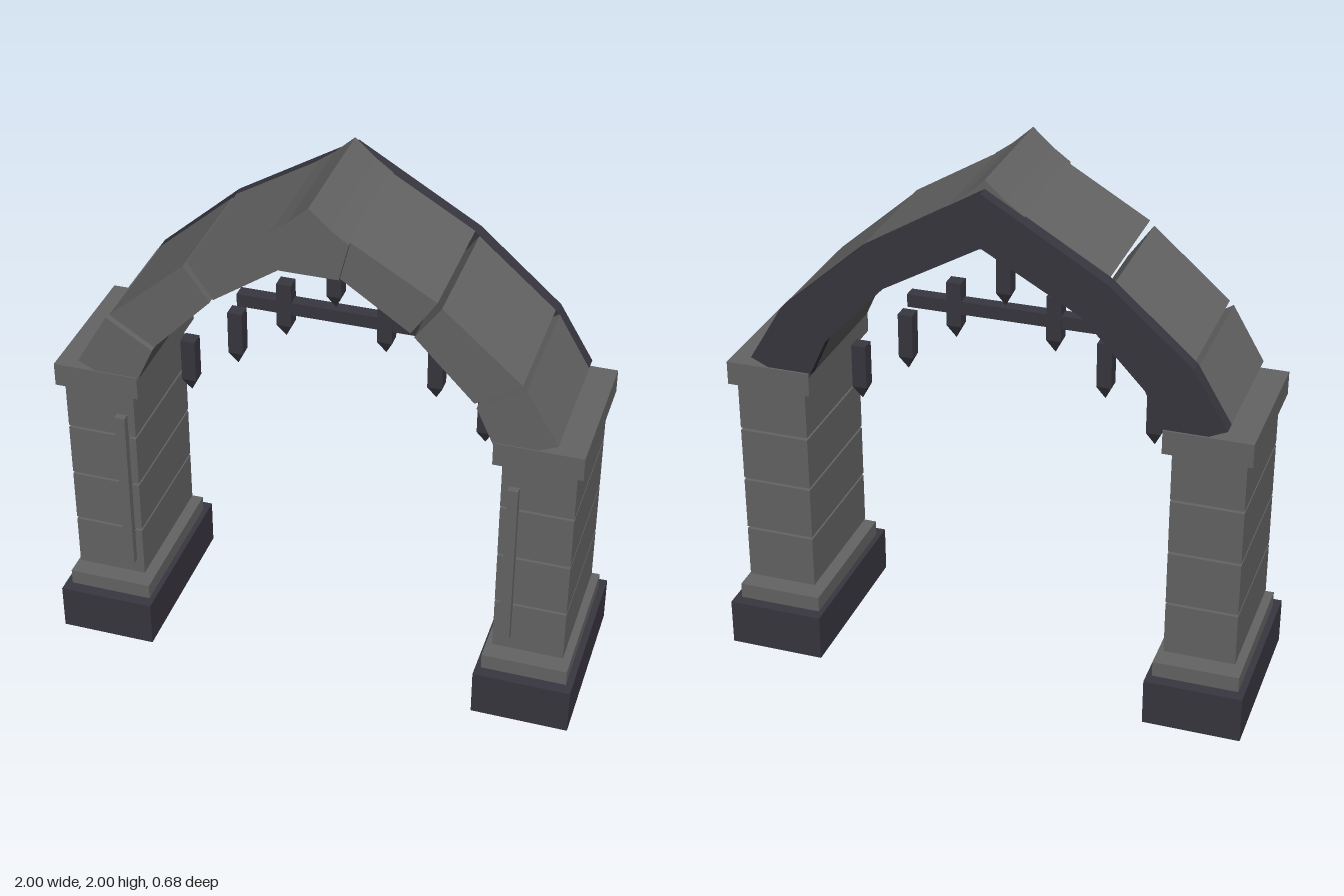
import * as THREE from 'three';

const stone = new THREE.MeshStandardMaterial({ color: 0x646465 });
stone.name = 'grey stone';
const dark = new THREE.MeshStandardMaterial({ color: 0x38363f });
dark.name = 'dark stone';

// Box given by its lower and upper limits on each axis
function box(name, mat, [x0, x1], [y0, y1], [z0, z1]) {
  const mesh = new THREE.Mesh(new THREE.BoxGeometry(x1 - x0, y1 - y0, z1 - z0), mat);
  mesh.position.set((x0 + x1) / 2, (y0 + y1) / 2, (z0 + z1) / 2);
  mesh.name = name;
  return mesh;
}

// Flat outline in x and y, extruded from z0 to z1
function slab(name, mat, points, z0, z1) {
  const shape = new THREE.Shape(points.map(([x, y]) => new THREE.Vector2(x, y)));
  const geo = new THREE.ExtrudeGeometry(shape, { depth: z1 - z0, bevelEnabled: false });
  geo.translate(0, 0, z0);
  const mesh = new THREE.Mesh(geo, mat);
  mesh.name = name;
  return mesh;
}

// Hanging spike: square bar with a four-sided point
function spike(x, top) {
  const w = 0.055, body = 0.17, tip = 0.055, z = -0.01;
  const group = new THREE.Group();
  group.name = 'spike';
  group.add(box('spikeBar', dark, [-w / 2, w / 2], [-body, 0], [-w / 2, w / 2]));
  const cone = new THREE.ConeGeometry(w / Math.SQRT2, tip, 4).toNonIndexed();
  cone.rotateY(Math.PI / 4).rotateX(Math.PI);
  cone.computeVertexNormals();
  const point = new THREE.Mesh(cone, dark);
  point.name = 'spikePoint';
  point.position.y = -body - tip / 2;
  group.add(point);
  group.position.set(x, top, z);
  return group;
}

// Pillar on one side: base, plinth, separated courses, cap and front strip
function pillar(side) {
  const group = new THREE.Group();
  group.name = side > 0 ? 'leftPillar' : 'rightPillar';
  const add = (name, mat, x0, x1, y, z) =>
    group.add(box(name, mat, side > 0 ? [x0, x1] : [-x1, -x0], y, z));
  add('base', dark, 0.635, 1, [0, 0.18], [-0.34, 0.34]);
  add('plinth', stone, 0.655, 0.975, [0.18, 0.24], [-0.295, 0.295]);
  for (const y of [[0.27, 0.472], [0.482, 0.685], [0.695, 0.898], [0.908, 1.1]]) {
    add('course', stone, 0.685, 0.95, y, [-0.257, 0.257]);
  }
  add('cap', stone, 0.655, 0.975, [1.1, 1.19], [-0.285, 0.285]);
  add('frontStrip', stone, 0.713, 0.752, [0.33, 1], [0.25, 0.285]);
  return group;
}

export function createModel() {
  const model = new THREE.Group();
  model.name = 'stoneArch';

  // Arch stones of one half, outlined for the +x side
  const archStones = [
    [[0.88, 1.22], [0.76, 1.425], [0.59, 1.318], [0.66, 1.165], [0.66, 1.12]],
    [[0.745, 1.44], [0.458, 1.69], [0.365, 1.56], [0.582, 1.335]],
    [[0.442, 1.708], [0.1, 1.91], [0.08, 1.75], [0.105, 1.741], [0.352, 1.573]],
  ];
  for (const side of [1, -1]) {
    model.add(pillar(side));
    for (const points of archStones) {
      model.add(slab('archStone', stone, points.map(([x, y]) => [side * x, y]), -0.222, 0.28));
    }
  }

  // Pointed keystone standing slightly proud of the arch
  model.add(slab('keystone', stone, [
    [0, 2], [-0.075, 1.932], [-0.14, 1.885], [-0.105, 1.745],
    [0.105, 1.745], [0.14, 1.885], [0.075, 1.932],
  ], -0.23, 0.297));

  // Dark rib along the back of the arch
  const outer = [[0.88, 1.22], [0.753, 1.433], [0.45, 1.7]];
  const inner = [[0.36, 1.567], [0.586, 1.327], [0.66, 1.165], [0.66, 1.12]];
  const mirror = (list) => list.map(([x, y]) => [-x, y]).reverse();
  model.add(slab('backRib', dark, [
    ...outer, [0, 1.968], ...mirror(outer), ...mirror(inner), [0, 1.77], ...inner,
  ], -0.277, -0.222));

  // Raised gate: crossbar and hanging spikes
  model.add(box('crossbar', dark, [-0.365, 0.365], [1.39, 1.44], [-0.035, 0.015]));
  model.add(spike(0, 1.665));
  for (const [x, top] of [[0.187, 1.51], [0.375, 1.355], [0.562, 1.2]]) {
    model.add(spike(x, top), spike(-x, top));
  }
  return model;
}
